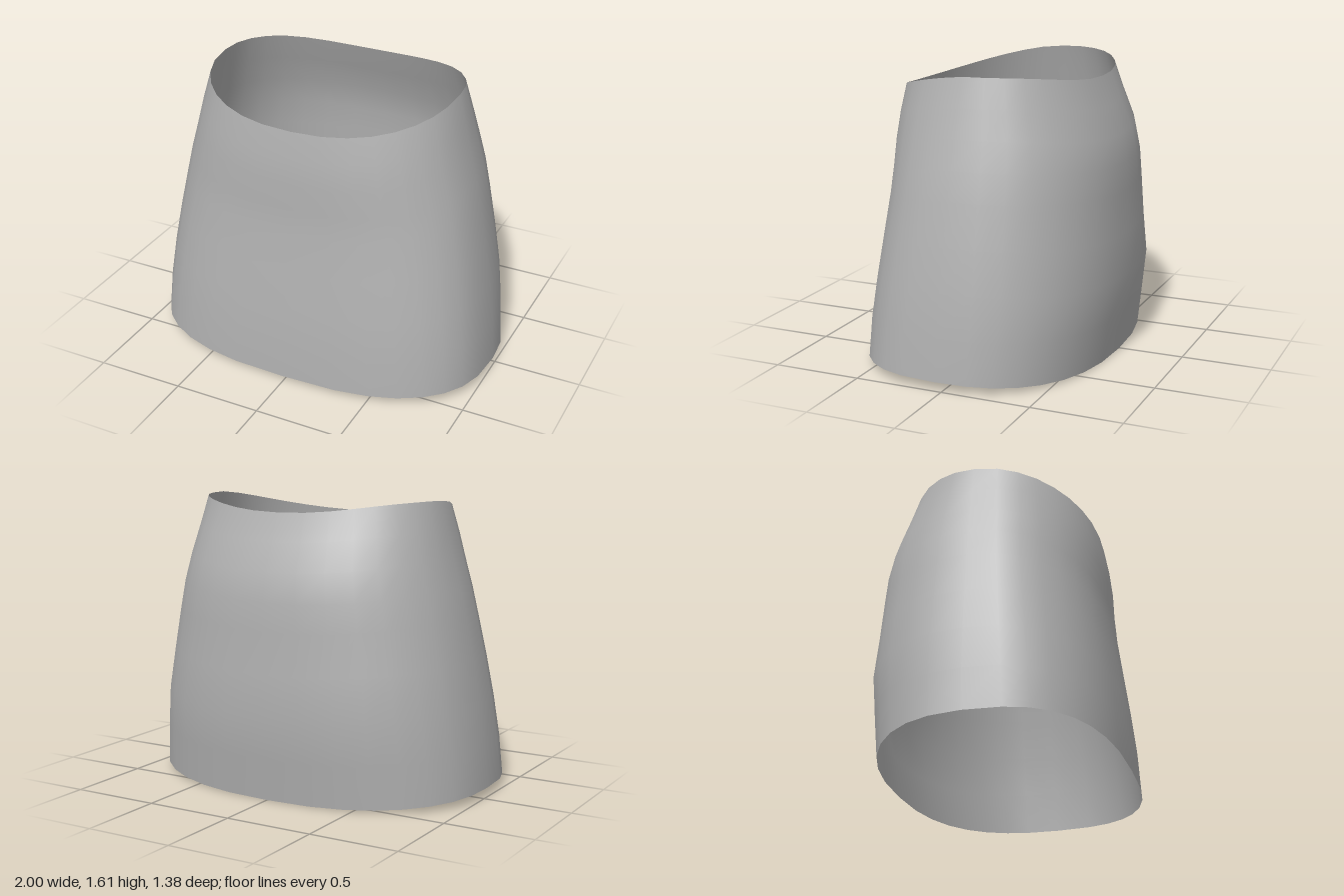
import * as THREE from 'three';

// Rings from hem to waist: [height fraction, half width, front depth, back depth]
const RINGS = [
  [0, 1.0, 0.69, 0.63],
  [0.15, 0.982, 0.68, 0.66],
  [0.3, 0.952, 0.657, 0.69],
  [0.45, 0.913, 0.63, 0.673],
  [0.6, 0.867, 0.604, 0.663],
  [0.7, 0.833, 0.595, 0.655],
  [0.8, 0.79, 0.594, 0.627],
  [0.9, 0.752, 0.58, 0.562],
  [1, 0.71, 0.555, 0.505],
];
const SEGMENTS = 32;
const { lerp } = THREE.MathUtils;

// Wavy edge heights; s runs from -1 (back) to 1 (front)
const hemHeight = (s) => (s > 0 ? 0.057 - 0.027 * s ** 5 : 0.055 - 0.05 * s ** 2);
const waistHeight = (s) => (s > 0 ? 1.612 - 0.122 * s ** 1.6 : 1.615 - 0.06 * s ** 4);

function skirtGeometry() {
  const positions = [];
  const indices = [];
  RINGS.forEach(([t, width, front, back], row) => {
    const centre = lerp(0.04, 0, t);
    for (let i = 0; i < SEGMENTS; i++) {
      const angle = (i / SEGMENTS) * Math.PI * 2;
      const c = Math.cos(angle);
      const s = Math.sin(angle);
      // Squarer oval at the front hem, rounder towards the waist and back
      const power = 2 / (s > 0 ? lerp(2.8, 2.3, t) : lerp(2.4, 2.2, t));
      const depth = s > 0 ? front - centre : back + centre;
      const zUnit = Math.sign(s) * Math.abs(s) ** power;
      positions.push(
        width * Math.sign(c) * Math.abs(c) ** power,
        lerp(hemHeight(zUnit), waistHeight(zUnit), t),
        centre + depth * zUnit,
      );
      if (row < RINGS.length - 1) {
        const a = row * SEGMENTS + i;
        const b = row * SEGMENTS + ((i + 1) % SEGMENTS);
        indices.push(a, a + SEGMENTS, b, b, a + SEGMENTS, b + SEGMENTS);
      }
    }
  });
  const geometry = new THREE.BufferGeometry();
  geometry.setAttribute('position', new THREE.Float32BufferAttribute(positions, 3));
  geometry.setIndex(indices);
  geometry.computeVertexNormals();
  return geometry;
}

export function createModel() {
  const fabric = new THREE.MeshStandardMaterial({ color: 0xb0b0b0, side: THREE.DoubleSide });
  fabric.name = 'grey fabric';

  // Open cloth tube, smooth shaded
  const skirt = new THREE.Mesh(skirtGeometry(), fabric);
  skirt.name = 'skirt';

  const model = new THREE.Group();
  model.name = 'shortSkirt';
  model.add(skirt);
  return model;
}
